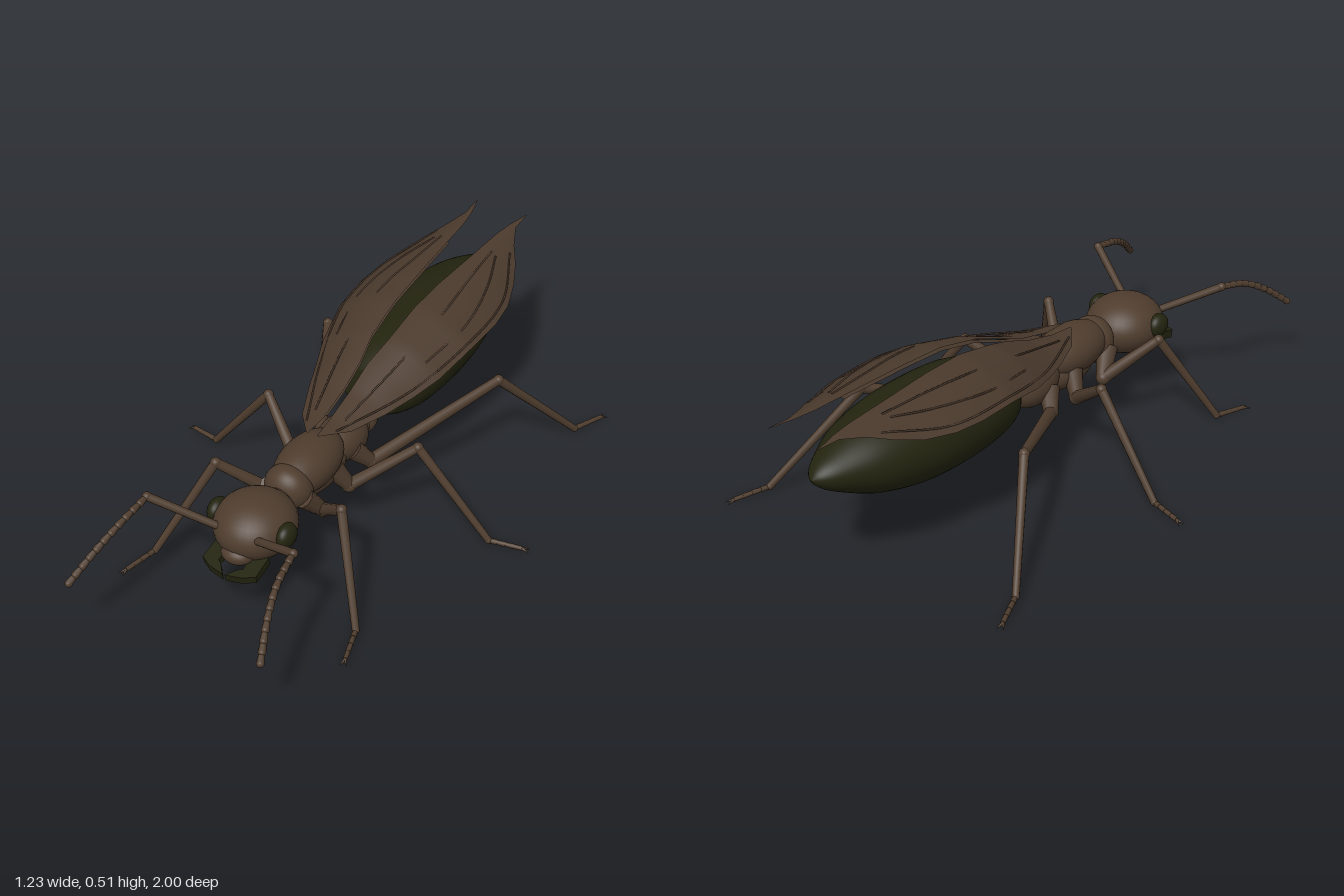
import * as THREE from 'three';

const V = (x, y, z) => new THREE.Vector3(x, y, z);

export function createModel() {
  const model = new THREE.Group();
  model.name = 'wingedAnt';
  const brown = new THREE.MeshStandardMaterial({ name: 'brown shell', color: 0x4f3d2e });
  const green = new THREE.MeshStandardMaterial({ name: 'dark green shell', color: 0x23240f });
  const wingBrown = new THREE.MeshStandardMaterial({ name: 'wing brown', color: 0x4b3a2d, side: THREE.DoubleSide });

  function add(parent, name, geometry, material) {
    const mesh = new THREE.Mesh(geometry, material);
    mesh.name = name;
    parent.add(mesh);
    return mesh;
  }
  function ball(parent, name, material, pos, radii, tilt = 0) {
    const mesh = add(parent, name, new THREE.SphereGeometry(1, 32, 20), material);
    mesh.position.set(...pos);
    mesh.scale.set(...radii);
    mesh.rotation.x = tilt;
    return mesh;
  }
  // Tapered rod from a to b
  function rod(parent, name, a, b, ra, rb, material = brown) {
    const dir = b.clone().sub(a);
    const mesh = add(parent, name, new THREE.CylinderGeometry(rb, ra, dir.length(), 10), material);
    mesh.position.copy(a).add(b).multiplyScalar(0.5);
    mesh.quaternion.setFromUnitVectors(V(0, 1, 0), dir.normalize());
    return mesh;
  }
  function joint(parent, p, r) {
    ball(parent, 'joint', brown, p.toArray(), [r, r, r]);
  }

  // Head and thorax
  ball(model, 'head', brown, [0, 0.253, 0.515], [0.123, 0.093, 0.13]);
  ball(model, 'face', brown, [0, 0.212, 0.61], [0.052, 0.032, 0.045]);
  ball(model, 'neck', brown, [0, 0.25, 0.395], [0.045, 0.045, 0.05]);
  ball(model, 'prothorax', brown, [0, 0.262, 0.335], [0.076, 0.076, 0.062], 0.3);
  ball(model, 'mesothorax', brown, [0, 0.278, 0.225], [0.086, 0.076, 0.15]);
  ball(model, 'lowerThorax', brown, [0, 0.225, 0.18], [0.068, 0.057, 0.14]);
  ball(model, 'propodeum', brown, [0, 0.243, 0.03], [0.072, 0.072, 0.105], -0.15);
  rod(model, 'waist', V(0, 0.22, -0.04), V(0, 0.24, -0.16), 0.03, 0.04);
  ball(model, 'petioleNode', brown, [0, 0.24, -0.105], [0.045, 0.058, 0.034], -0.25);

  // Abdomen: distance back, half height, centre height
  const rings = [[0.138, 0, 0.3], [0.14, 0.075, 0.3], [0.2, 0.109, 0.31], [0.3, 0.131, 0.319],
    [0.45, 0.138, 0.323], [0.6, 0.131, 0.328], [0.75, 0.103, 0.338], [0.87, 0.055, 0.348],
    [0.92, 0.025, 0.353], [0.94, 0, 0.355]];
  const sample = (rows, t, col) => { // linear lookup on the first column
    let i = 0;
    while (i < rows.length - 2 && t > rows[i + 1][0]) i++;
    const k = THREE.MathUtils.clamp((t - rows[i][0]) / (rows[i + 1][0] - rows[i][0]), 0, 1);
    return THREE.MathUtils.lerp(rows[i][col], rows[i + 1][col], k);
  };
  const outline = new THREE.SplineCurve(rings.slice(1).map(r => new THREE.Vector2(r[1], r[0])))
    .getPoints(40).map(p => new THREE.Vector2(Math.max(p.x, 0), p.y));
  const gaster = new THREE.LatheGeometry([new THREE.Vector2(0, 0.138), ...outline], 40);
  gaster.rotateX(-Math.PI / 2).scale(1.25, 1, 1);
  const gp = gaster.attributes.position;
  for (let i = 0; i < gp.count; i++) gp.setY(i, gp.getY(i) + sample(rings, -gp.getZ(i), 2));
  add(model, 'abdomen', gaster, green);

  // Wing plan: distance back, inner x, outer x, ridge height, drop of the outer edge
  const wingRows = [[-0.2, 0.015, 0.022, 0.365, 0], [-0.12, 0.01, 0.085, 0.37, 0.015],
    [0, 0.01, 0.135, 0.4, 0.04], [0.1, 0.012, 0.17, 0.44, 0.07], [0.2, 0.028, 0.205, 0.475, 0.085],
    [0.35, 0.034, 0.234, 0.508, 0.085], [0.5, 0.04, 0.242, 0.515, 0.085], [0.6, 0.046, 0.232, 0.515, 0.08],
    [0.7, 0.052, 0.2, 0.515, 0.07], [0.78, 0.056, 0.165, 0.515, 0.045], [0.85, 0.06, 0.122, 0.515, 0.02],
    [0.92, 0.07, 0.093, 0.515, 0.005], [1, 0.09, 0.092, 0.515, 0]];
  const wingPoint = (s, back, u, lift = 0) => V(
    s * THREE.MathUtils.lerp(sample(wingRows, back, 1), sample(wingRows, back, 2), u),
    sample(wingRows, back, 3) - sample(wingRows, back, 4) * u * u + lift, -back);
  function wingSheet(s, from, to, width, lift) {
    const geo = new THREE.PlaneGeometry(1, 1, 12, 60);
    const p = geo.attributes.position;
    for (let i = 0; i < p.count; i++) {
      const q = wingPoint(s, THREE.MathUtils.lerp(from, to, 0.5 - p.getY(i)), (p.getX(i) + 0.5) * width, lift);
      p.setXYZ(i, q.x, q.y, q.z);
    }
    geo.computeVertexNormals();
    return geo;
  }
  // Veins: pairs of distance back and position across
  const veins = [
    [[-0.15, 0.8], [0.1, 0.9], [0.35, 0.93], [0.6, 0.9], [0.8, 0.8]],
    [[-0.1, 0.5], [0.15, 0.45], [0.4, 0.4], [0.6, 0.3], [0.75, 0.3]],
    [[0.2, 0.72], [0.4, 0.75], [0.6, 0.6], [0.74, 0.45]]];

  // Leg points: hip top, hip end, knee, ankle, toe
  const legs = {
    frontLeg: [[0.055, 0.25, 0.345], [0.085, 0.175, 0.285], [0.215, 0.305, 0.395], [0.348, 0.017, 0.54], [0.378, 0.008, 0.65]],
    middleLeg: [[0.05, 0.24, 0.17], [0.09, 0.17, 0.14], [0.262, 0.305, 0.03], [0.49, 0.017, -0.008], [0.59, 0.008, -0.035]],
    hindLeg: [[0.05, 0.23, 0.05], [0.09, 0.175, 0.01], [0.308, 0.302, -0.4], [0.47, 0.017, -0.645], [0.512, 0.008, -0.755]],
  };

  for (const s of [1, -1]) {
    const side = new THREE.Group();
    side.name = s > 0 ? 'leftSide' : 'rightSide';
    model.add(side);

    ball(side, 'eye', green, [s * 0.116, 0.268, 0.535], [0.028, 0.038, 0.041]);

    // Hooked jaw
    const jaw = new THREE.Shape([[0.05, 0.58], [0.088, 0.6], [0.09, 0.675], [0.055, 0.695], [0.004, 0.706],
      [0.028, 0.675], [0.042, 0.665], [0.038, 0.64]].map(([x, z]) => new THREE.Vector2(s * x, z)));
    const jawGeo = new THREE.ExtrudeGeometry(jaw, { depth: 0.026, bevelEnabled: false }).rotateX(Math.PI / 2);
    const jawMesh = add(side, 'mandible', jawGeo, green);
    jawMesh.position.set(0, 0.34, 0);
    jawMesh.rotation.x = 0.22;

    // Elbowed antenna with a beaded end
    const antenna = new THREE.Group();
    antenna.name = 'antenna';
    side.add(antenna);
    const elbow = V(s * 0.243, 0.378, 0.7);
    rod(antenna, 'scape', V(s * 0.06, 0.275, 0.605), elbow, 0.012, 0.013);
    joint(antenna, elbow, 0.014);
    const whip = new THREE.CatmullRomCurve3([elbow, V(s * 0.258, 0.352, 0.81),
      V(s * 0.283, 0.305, 0.9), V(s * 0.316, 0.237, 0.988)]).getSpacedPoints(11);
    for (let i = 0; i < 11; i++) {
      rod(antenna, 'flagellumSegment', whip[i], whip[i + 1], 0.008, 0.0115);
      joint(antenna, whip[i + 1], 0.0115);
    }

    // Legs with segmented feet and split claws
    for (const [name, points] of Object.entries(legs)) {
      const leg = new THREE.Group();
      leg.name = name;
      side.add(leg);
      const [top, hip, knee, ankle, toe] = points.map(([x, y, z]) => V(s * x, y, z));
      rod(leg, 'coxa', top, hip, 0.034, 0.022);
      joint(leg, hip, 0.023);
      rod(leg, 'femur', hip, knee, 0.021, 0.015);
      joint(leg, knee, 0.0165);
      rod(leg, 'tibia', knee, ankle, 0.015, 0.011);
      joint(leg, ankle, 0.011);
      for (let i = 0; i < 4; i++) {
        rod(leg, 'footSegment', ankle.clone().lerp(toe, i / 4), ankle.clone().lerp(toe, (i + 1) / 4), 0.007, 0.009 - i * 0.0006);
      }
      const dir = toe.clone().sub(ankle).setY(0).normalize();
      const across = V(dir.z, 0, -dir.x);
      for (const k of [1, -1]) {
        const tip = toe.clone().addScaledVector(dir, 0.022).addScaledVector(across, k * 0.01).setY(0.002);
        rod(leg, 'claw', toe, tip, 0.005, 0.001);
      }
    }

    // Forewing over a shorter hind wing
    const wing = new THREE.Group();
    wing.name = 'wing';
    side.add(wing);
    add(wing, 'forewing', wingSheet(s, -0.2, 1, 1, 0), wingBrown);
    add(wing, 'hindWing', wingSheet(s, -0.1, 0.74, 0.8, -0.012), wingBrown);
    for (const vein of veins) {
      const path = new THREE.CatmullRomCurve3(vein.map(([b, u]) => wingPoint(s, b, u, 0.0005)));
      add(wing, 'vein', new THREE.TubeGeometry(path, 40, 0.003, 6), wingBrown);
    }
  }
  return model;
}
